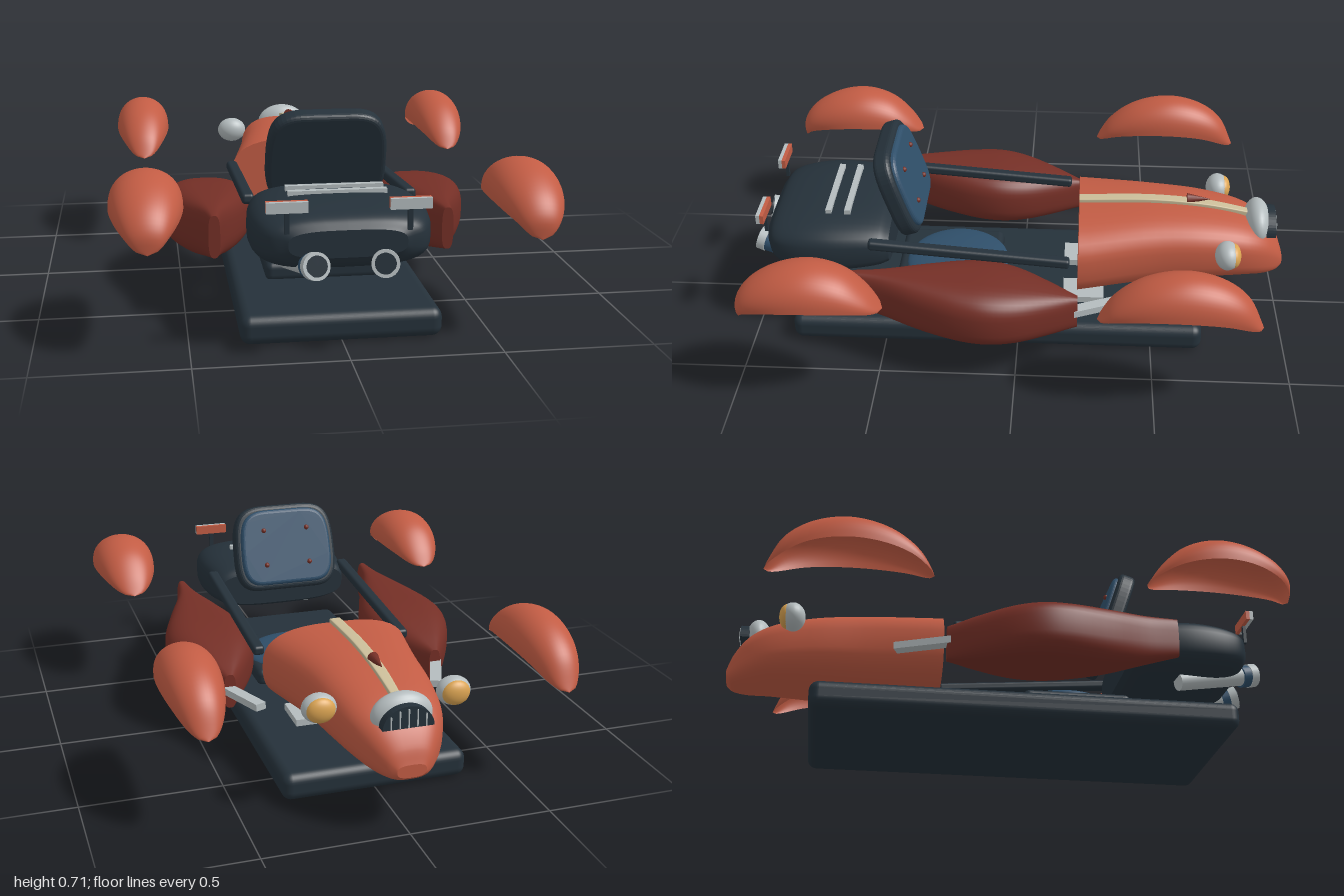
import * as THREE from 'three';
import { RoundedBoxGeometry } from 'three/addons/geometries/RoundedBoxGeometry.js';

const mat = (name, color, side = THREE.FrontSide) => {
  const m = new THREE.MeshStandardMaterial({ color, side });
  m.name = name;
  return m;
};

export function createModel() {
  const model = new THREE.Group();
  const red = mat('bodyRed', 0xc25c44, THREE.DoubleSide);
  const maroon = mat('darkRed', 0x742f26);
  const dark = mat('charcoal', 0x25313a);
  const blue = mat('seatBlue', 0x2f4f6a);
  const chrome = mat('chrome', 0xb4bcbe);
  const cream = mat('cream', 0xcbbd99);
  const amber = mat('amber', 0xdba452);

  const add = (name, geo, m, x = 0, y = 0, z = 0, parent = model) => {
    const mesh = new THREE.Mesh(geo, m);
    mesh.name = name;
    mesh.position.set(x, y, z);
    parent.add(mesh);
    return mesh;
  };
  const box = (w, h, d, r = 0) => r ? new RoundedBoxGeometry(w, h, d, 4, r) : new THREE.BoxGeometry(w, h, d);

  // Cylinder between two points
  const rod = (name, a, b, r0, r1, m) => {
    const p = new THREE.Vector3(...a), q = new THREE.Vector3(...b);
    const mesh = add(name, new THREE.CylinderGeometry(r1, r0, p.distanceTo(q), 24), m);
    mesh.position.copy(p).add(q).multiplyScalar(0.5);
    mesh.quaternion.setFromUnitVectors(new THREE.Vector3(0, 1, 0), q.sub(p).normalize());
    return mesh;
  };

  // Closed loft of superellipse sections [z, halfWidth, bottom, top], z rising
  const loft = (stations, n = 2, rows = 36, cols = 40) => {
    const zw = new THREE.CatmullRomCurve3(stations.map(s => new THREE.Vector3(s[0], s[1], 0)), false, 'centripetal');
    const by = new THREE.CatmullRomCurve3(stations.map(s => new THREE.Vector3(s[0], s[2], s[3])), false, 'centripetal');
    const pos = [], idx = [];
    const pw = v => Math.sign(v) * Math.abs(v) ** (2 / n);
    for (let i = 0; i <= rows; i++) {
      const a = zw.getPoint(i / rows), b = by.getPoint(i / rows);
      for (let j = 0; j < cols; j++) {
        const t = (j / cols) * Math.PI * 2;
        pos.push(a.y * pw(Math.cos(t)), (b.y + b.z) / 2 + (b.z - b.y) / 2 * pw(Math.sin(t)), a.x);
        const k = (j + 1) % cols, p = i * cols, q = p + cols;
        if (i < rows) idx.push(p + j, p + k, q + k, p + j, q + k, q + j);
      }
    }
    // End caps with their own vertices
    for (const [row, last] of [[0, false], [rows, true]]) {
      const c = pos.length / 3, s = row * cols * 3;
      const ring = pos.slice(s, s + cols * 3);
      const e = stations[last ? stations.length - 1 : 0];
      pos.push(0, (e[2] + e[3]) / 2, e[0], ...ring);
      for (let j = 0; j < cols; j++) {
        const k = (j + 1) % cols;
        idx.push(c, c + 1 + (last ? j : k), c + 1 + (last ? k : j));
      }
    }
    const g = new THREE.BufferGeometry();
    g.setAttribute('position', new THREE.Float32BufferAttribute(pos, 3));
    g.setIndex(idx);
    g.computeVertexNormals();
    return g;
  };

  // Hollow crescent fender between an outer and a lower arc of [z, y] points
  const fender = (outer, lower, w) => {
    const curve = pts => new THREE.CatmullRomCurve3(pts.map(p => new THREE.Vector3(0, p[1], p[0])));
    const o = curve(outer), l = curve(lower), rows = 40, cols = 24, pos = [], idx = [];
    for (let i = 0; i <= rows; i++) {
      const u = i / rows, a = o.getPointAt(u), b = l.getPointAt(u);
      const hw = w * Math.max(0, Math.sin(Math.PI * u)) ** 0.5;
      for (let j = 0; j <= cols; j++) {
        const v = (j / cols) * Math.PI, s = Math.max(0, Math.sin(v)) ** 0.85;
        pos.push(hw * Math.cos(v), b.y + (a.y - b.y) * s, b.z + (a.z - b.z) * s);
        const p = i * (cols + 1) + j, q = p + cols + 1;
        if (i < rows && j < cols) idx.push(p, p + 1, q + 1, p, q + 1, q);
      }
    }
    const g = new THREE.BufferGeometry();
    g.setAttribute('position', new THREE.Float32BufferAttribute(pos, 3));
    g.setIndex(idx);
    g.computeVertexNormals();
    return g;
  };

  // Floor slab and seat
  add('basePlate', box(0.67, 0.1, 1.54, 0.035), dark, 0, 0.05, 0.08);
  add('seatBase', box(0.43, 0.07, 0.4, 0.025), dark, 0, 0.125, 0.28);
  const cushion = add('seatCushion', new THREE.SphereGeometry(0.21, 40, 20), blue, 0, 0.155, 0.25);
  cushion.scale.set(1, 0.18, 0.95);

  // Reclined backrest with buttoned pad
  const back = new THREE.Group();
  back.name = 'backrest';
  back.position.set(0, 0.54, 0.45);
  back.rotation.x = 0.33;
  model.add(back);
  const backShape = (w, h) => {
    const s = new THREE.Shape();
    s.moveTo(-w * 0.6, -h);
    s.lineTo(w * 0.6, -h);
    s.bezierCurveTo(w * 0.9, -h, w, -h * 0.8, w, -h * 0.3);
    s.bezierCurveTo(w, h * 0.7, w * 0.95, h, w * 0.4, h);
    s.lineTo(-w * 0.4, h);
    s.bezierCurveTo(-w * 0.95, h, -w, h * 0.7, -w, -h * 0.3);
    s.bezierCurveTo(-w, -h * 0.8, -w * 0.9, -h, -w * 0.6, -h);
    return s;
  };
  const slab = (w, h, depth, b) => new THREE.ExtrudeGeometry(backShape(w - b, h - b),
    { depth, bevelEnabled: true, bevelSize: b, bevelThickness: b, bevelSegments: 4, curveSegments: 16 });
  add('backrestShell', slab(0.21, 0.172, 0.03, 0.018), dark, 0, 0, -0.01, back);
  add('backrestPad', slab(0.188, 0.152, 0.015, 0.015), blue, 0, 0, -0.03, back);
  for (const x of [-0.09, 0.09]) for (const y of [-0.07, 0.07])
    add('backrestButton', new THREE.SphereGeometry(0.01, 12, 8), maroon, x, y, -0.046, back);

  // Rear deck with trim strips
  add('rearDeck', loft([[0.48, 0.26, 0.29, 0.43], [0.52, 0.275, 0.27, 0.455], [0.7, 0.3, 0.25, 0.472],
    [0.84, 0.285, 0.26, 0.46], [0.91, 0.25, 0.285, 0.44], [0.94, 0.19, 0.32, 0.41]], 3.2), dark);
  for (const z of [0.64, 0.71]) add('deckTrim', box(0.33, 0.02, 0.022), chrome, 0, 0.472, z);

  // Bonnet, centre strip and latch
  add('bonnet', loft([[-1, 0.05, 0.205, 0.25], [-0.98, 0.08, 0.19, 0.3], [-0.93, 0.125, 0.187, 0.365],
    [-0.85, 0.165, 0.195, 0.41], [-0.7, 0.195, 0.192, 0.445], [-0.5, 0.22, 0.18, 0.46],
    [-0.22, 0.277, 0.158, 0.452]], 2.8), red);
  add('bonnetStrip', loft([[-0.87, 0.016, 0.4, 0.425], [-0.7, 0.02, 0.44, 0.458], [-0.5, 0.021, 0.455, 0.474],
    [-0.22, 0.021, 0.448, 0.466]], 6), cream);
  const latch = add('bonnetLatch', new THREE.ConeGeometry(0.02, 0.09, 12), maroon, 0, 0.47, -0.67);
  latch.rotation.x = -Math.PI / 2;

  // Grille
  const hood = add('grilleCowl', new THREE.SphereGeometry(1, 32, 20), chrome, 0, 0.38, -0.895);
  hood.scale.set(0.106, 0.08, 0.05);
  const arch = new THREE.Shape();
  arch.absellipse(0, 0, 0.088, 0.075, 0, Math.PI);
  add('grille', new THREE.ExtrudeGeometry(arch, { depth: 0.035, bevelEnabled: false }), dark, 0, 0.36, -0.96);
  for (let i = -2; i <= 2; i++) {
    const h = 0.075 * Math.sqrt(1 - (i * 0.03 / 0.088) ** 2) - 0.012;
    add('grilleBar', box(0.004, h, 0.006), chrome, i * 0.03, 0.363 + h / 2, -0.961);
  }

  for (const s of [1, -1]) {
    // Fenders
    add('rearFender', fender(
      [[0.95, 0.355], [0.952, 0.42], [0.91, 0.485], [0.81, 0.545], [0.69, 0.566], [0.58, 0.535], [0.5, 0.465], [0.448, 0.39]],
      [[0.95, 0.355], [0.92, 0.395], [0.83, 0.43], [0.7, 0.445], [0.56, 0.43], [0.448, 0.39]], 0.121), red, s * 0.625);
    add('frontFender', fender(
      [[-0.288, 0.37], [-0.34, 0.455], [-0.44, 0.53], [-0.58, 0.562], [-0.71, 0.535], [-0.8, 0.47], [-0.857, 0.355]],
      [[-0.288, 0.37], [-0.38, 0.415], [-0.55, 0.44], [-0.72, 0.42], [-0.857, 0.355]], 0.105), red, s * 0.622);

    // Side pods
    add('sidePod', loft([[-0.222, 0.022, 0.162, 0.292], [-0.12, 0.085, 0.15, 0.325], [0, 0.145, 0.143, 0.355],
      [0.1, 0.166, 0.143, 0.37], [0.2, 0.155, 0.148, 0.375], [0.35, 0.105, 0.165, 0.378],
      [0.5, 0.045, 0.2, 0.378], [0.612, 0.02, 0.23, 0.378]], 3), maroon, s * 0.4);

    // Arm rail, strut and floor hinge
    const rail = add('armRail', box(0.042, 0.036, 0.74, 0.012), dark, s * 0.28, 0.385, 0.18);
    rail.rotation.x = -0.08;
    const strut = add('sideStrut', box(0.042, 0.026, 0.21), chrome, s * 0.372, 0.233, -0.3);
    strut.rotation.y = s * 0.39;
    add('floorHinge', box(0.12, 0.026, 0.155), chrome, s * 0.12, 0.112, -0.245);

    // Headlamps
    const lamp = add('headlampShell', new THREE.SphereGeometry(0.06, 28, 18), chrome, s * 0.236, 0.378, -0.765);
    lamp.scale.set(1, 0.85, 0.75);
    const lens = add('headlampLens', new THREE.SphereGeometry(0.05, 28, 12, 0, Math.PI * 2, 0, Math.PI / 2), amber, s * 0.236, 0.378, -0.787);
    lens.rotation.x = -Math.PI / 2;
    lens.scale.set(1, 0.55, 0.88);

    // Tail lamps on small posts
    add('tailLampBar', box(0.132, 0.035, 0.014), chrome, s * 0.195, 0.493, 0.951);
    add('tailLampFace', box(0.132, 0.035, 0.014), red, s * 0.195, 0.493, 0.937);
    add('tailLampPost', box(0.016, 0.08, 0.012), dark, s * 0.195, 0.445, 0.94);

    // Exhausts
    rod('exhaustPipe', [s * 0.165, 0.24, 0.675], [s * 0.118, 0.3, 0.94], 0.033, 0.035, chrome);
    rod('exhaustCollar', [s * 0.119, 0.298, 0.935], [s * 0.114, 0.305, 0.965], 0.042, 0.042, blue);
    rod('exhaustTip', [s * 0.114, 0.305, 0.964], [s * 0.108, 0.313, 0.993], 0.045, 0.045, chrome);
    rod('exhaustOpening', [s * 0.1083, 0.3125, 0.99], [s * 0.1075, 0.3137, 0.996], 0.034, 0.034, dark);
  }
  return model;
}
